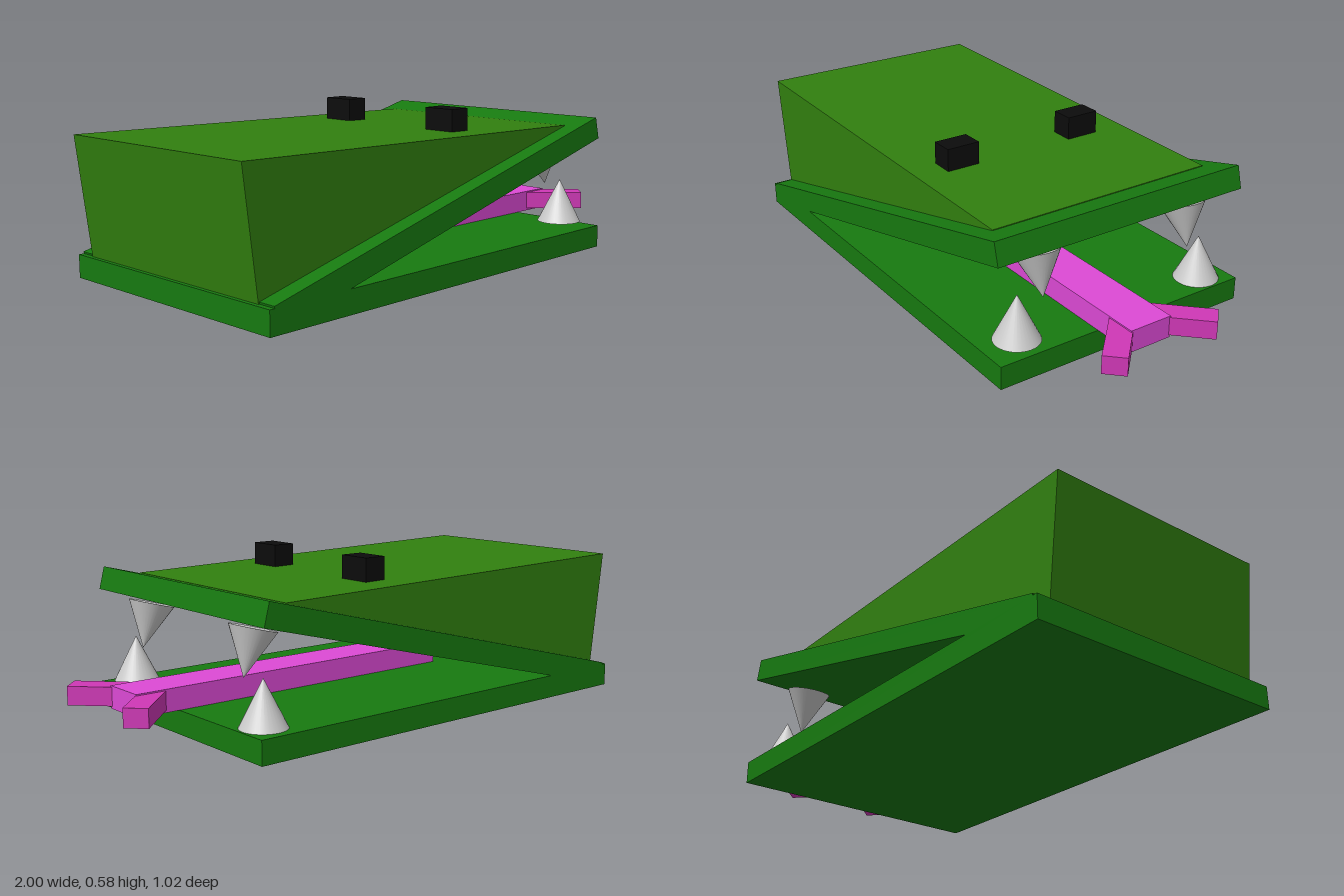
import * as THREE from 'three';

const mat = (color) => new THREE.MeshStandardMaterial({ color });
const TILT = 0.2515; // opening angle of the upper jaw

export function createModel() {
  const model = new THREE.Group();
  const jawGreen = mat(0x177a10);
  const headGreen = mat(0x31800f);
  const black = mat(0x0c0c0c);
  const tonguePink = mat(0xdd4ad6);
  const forkPink = mat(0xcf38b6);
  const grey = mat(0xcccccc);

  const add = (name, geometry, material, x, y, z) => {
    const mesh = new THREE.Mesh(geometry, material);
    mesh.name = name;
    mesh.position.set(x, y, z);
    model.add(mesh);
    return mesh;
  };

  // Jaws: two equal slabs, the upper one hinged open
  const slab = new THREE.BoxGeometry(1.686, 0.084, 1.016);
  add('lowerJaw', slab, jawGreen, -0.118, 0.042, 0);
  add('upperJaw', slab, jawGreen, -0.116, 0.26, 0).rotation.z = TILT;

  // Wedge-shaped head sitting on the upper jaw
  const profile = new THREE.Shape([
    [-1.0, 0.514], [-0.944, 0.07], [0.58, 0.46], [0.58, 0.485],
  ].map(([x, y]) => new THREE.Vector2(x, y)));
  add('head', new THREE.ExtrudeGeometry(profile, { depth: 0.885, bevelEnabled: false }),
    headGreen, 0, 0, -0.445);

  // Eyes
  const eye = new THREE.BoxGeometry(0.085, 0.1, 0.127);
  add('leftEye', eye, black, 0.097, 0.525, 0.262);
  add('rightEye', eye, black, 0.097, 0.527, -0.256);

  // Tongue with a forked tip
  add('tongue', new THREE.BoxGeometry(1.35, 0.08, 0.166), tonguePink, 0.215, 0.125, 0.038);
  const fork = new THREE.BoxGeometry(0.24, 0.066, 0.083);
  for (const [name, side, z] of [['tongueForkLeft', 1, 0.168], ['tongueForkRight', -1, -0.094]]) {
    add(name, fork, forkPink, 0.885, 0.127, z).rotation.y = -side * Math.PI / 4;
  }

  // Teeth: upright cones below, tilted inverted cones above
  const tooth = new THREE.ConeGeometry(0.082, 0.164, 32);
  add('lowerLeftTooth', tooth, grey, 0.636, 0.182, 0.385);
  add('lowerRightTooth', tooth, grey, 0.636, 0.165, -0.397);
  for (const [name, z] of [['upperLeftTooth', 0.298], ['upperRightTooth', -0.322]]) {
    add(name, tooth, grey, 0.638, 0.315, z).rotation.z = Math.PI + TILT;
  }

  return model;
}
